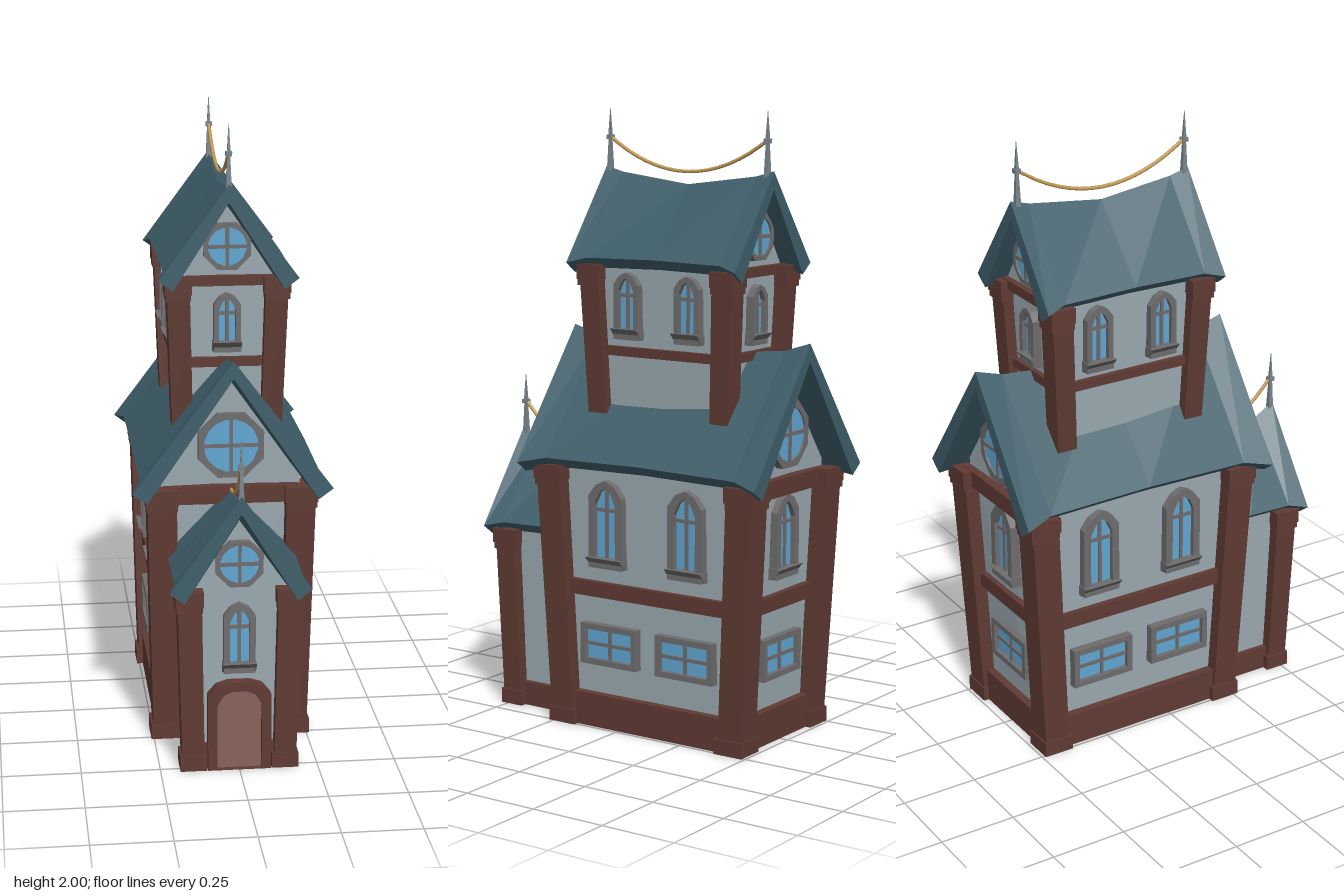
import * as THREE from 'three';

const mat = (name, color) => {
  const m = new THREE.MeshStandardMaterial({ color });
  m.name = name;
  return m;
};

export function createModel() {
  const M = {
    wall: mat('plaster', 0x9baab0), wood: mat('dark timber', 0x5f3a33), roof: mat('teal roof', 0x3f5f6b),
    glass: mat('blue glass', 0x62a6d2), frame: mat('grey frame', 0x6e6c6c), door: mat('door wood', 0x86625a),
    gold: mat('golden rope', 0xc79d58), metal: mat('finial metal', 0x78858b),
  };
  const root = new THREE.Group();
  root.name = 'house';

  const add = (parent, name, geo, material, x = 0, y = 0, z = 0) => {
    const m = new THREE.Mesh(geo, material);
    m.name = name;
    m.position.set(x, y, z);
    parent.add(m);
    return m;
  };
  const box = (p, name, m, w, h, d, x, y, z) => add(p, name, new THREE.BoxGeometry(w, h, d), m, x, y, z);
  const poly = (pts) => new THREE.Shape(pts.map(([x, y]) => new THREE.Vector2(x, y)));
  const extrude = (shape, depth) => new THREE.ExtrudeGeometry(shape, { depth, bevelEnabled: false });
  const lerp = THREE.MathUtils.lerp;

  // Moves every vertex by a rule and refreshes the flat normals
  const reshape = (geo, rule) => {
    const g = geo.index ? geo.toNonIndexed() : geo;
    const p = g.attributes.position;
    const v = new THREE.Vector3();
    for (let i = 0; i < p.count; i++) {
      rule(v.fromBufferAttribute(p, i));
      p.setXYZ(i, v.x, v.y, v.z);
    }
    g.computeVertexNormals();
    return g;
  };

  // Gabled wall block that widens towards the eaves; s = storey description
  const walls = (p, s) => {
    const shape = poly([[-s.x0, s.y0], [s.x0, s.y0], [s.x1, s.y1], [0, s.apex], [-s.x1, s.y1]]);
    add(p, 'walls', reshape(extrude(shape, 1), (v) => {
      const t = Math.min(1, (v.y - s.y0) / (s.y1 - s.y0));
      v.z = s.zc + (v.z * 2 - 1) * lerp(s.z0, s.z1, t);
    }), M.wall);
  };

  // Leaning corner posts with a foot and a stepped capital
  const posts = (p, s, w, ends, foot) => {
    for (const sx of [-1, 1]) for (const sz of ends) {
      const h = s.top - s.foot;
      const at = (t) => [sx * lerp(s.x0, s.x1, t), s.zc + sz * lerp(s.z0, s.z1, t)];
      add(p, 'cornerPost', reshape(new THREE.BoxGeometry(w, 1, w), (v) => {
        const t = v.y + 0.5;
        const [cx, cz] = at(t);
        v.set(cx + v.x * (0.96 + 0.08 * t), s.foot + h * t, cz + v.z * (0.96 + 0.08 * t));
      }), M.wood);
      const [tx, tz] = at(1);
      box(p, 'capital', M.wood, w + 0.015, 0.05, w + 0.015, tx, s.top - 0.025, tz);
      box(p, 'capitalStep', M.wood, w + 0.009, 0.02, w + 0.009, tx, s.top - 0.06, tz);
      if (foot) {
        const [bx, bz] = at(0);
        box(p, 'postFoot', M.wood, w + 0.012, 0.05, w + 0.012, bx, 0.025, bz);
      }
    }
  };

  // Horizontal timber running round a storey between two heights
  const band = (p, s, name, ya, yb, out, inset = out) => {
    const t = ((ya + yb) / 2 - s.y0) / (s.y1 - s.y0);
    box(p, name, M.wood, 2 * (lerp(s.x0, s.x1, t) + inset), yb - ya, 2 * (lerp(s.z0, s.z1, t) + out), 0, (ya + yb) / 2, s.zc);
  };

  // Swept roof from stations [z, ridgeY, eaveX, eaveY], front to back
  const roof = (p, stations) => {
    const rings = stations.map(([z, r, x, y]) => [
      [0, r, z], [-x, y, z], [-x + 0.046, y - 0.034, z],
      [0, r - 0.057, z], [x - 0.046, y - 0.034, z], [x, y, z],
    ]);
    const out = [];
    const quad = (a, b, c, d) => out.push(...a, ...b, ...c, ...a, ...c, ...d);
    for (let k = 0; k < rings.length - 1; k++) {
      const a = rings[k], b = rings[k + 1];
      for (let i = 0; i < 6; i++) quad(a[i], b[i], b[(i + 1) % 6], a[(i + 1) % 6]);
    }
    const f = rings[0], e = rings[rings.length - 1];
    quad(f[0], f[1], f[2], f[3]);
    quad(f[0], f[3], f[4], f[5]);
    quad(e[3], e[2], e[1], e[0]);
    quad(e[5], e[4], e[3], e[0]);
    const g = new THREE.BufferGeometry();
    g.setAttribute('position', new THREE.Float32BufferAttribute(out, 3));
    g.computeVertexNormals();
    add(p, 'roof', g, M.roof);
  };

  // Outlines: pointed arch, rectangle, regular polygon
  const archPts = (w, h, b = 0) => {
    const x = w / 2 - b, t = h - b, r = w * 0.42;
    return [[-x, b], [x, b], [x, t - r], [x * 0.55, t - r * 0.3], [0, t], [-x * 0.55, t - r * 0.3], [-x, t - r]];
  };
  const rectPts = (w, h, b = 0) => [[b - w / 2, b], [w / 2 - b, b], [w / 2 - b, h - b], [b - w / 2, h - b]];
  const ngon = (r, n) => Array.from({ length: n }, (_, i) => {
    const a = ((i + 0.5) / n) * Math.PI * 2;
    return [r * Math.cos(a), r * Math.sin(a)];
  });

  // Framed pane with a cross of glazing bars, facing local +z
  const pane = (outer, inner, out, barY, innerW, innerY0, innerY1) => {
    const g = new THREE.Group();
    g.name = 'window';
    const s = poly(outer);
    s.holes.push(poly(inner));
    add(g, 'windowFrame', extrude(s, out + 0.02), M.frame, 0, 0, -0.02);
    add(g, 'glass', extrude(poly(inner), 0.008), M.glass, 0, 0, 0.006);
    box(g, 'uprightBar', M.frame, 0.011, innerY1 - innerY0, 0.012, 0, (innerY0 + innerY1) / 2, 0.014);
    box(g, 'crossBar', M.frame, innerW, 0.011, 0.012, 0, barY, 0.014);
    return g;
  };
  const archWindow = (w, h) => {
    const b = w * 0.19;
    const g = pane(archPts(w, h), archPts(w, h, b), 0.03, h * 0.66, w - 2 * b, b, h - b);
    // Sill with an underside that slopes back to the wall
    add(g, 'sill', reshape(new THREE.BoxGeometry(w + 0.006, 0.035, 0.06), (v) => {
      if (v.y < 0 && v.z > 0) v.z -= 0.03;
    }), M.frame, 0, 0.0175, 0.015);
    return g;
  };
  const rectWindow = (w, h) => pane(rectPts(w, h), rectPts(w, h, 0.019), 0.03, h / 2, w - 0.038, 0.019, h - 0.019);
  const roundWindow = (r) => pane(ngon(r, 8), ngon(r * 0.77, 16), 0.02, 0, r * 1.5, -r * 0.75, r * 0.75);

  // Sets a window on a side: 0 front, 1 left, 2 back, 3 right
  const place = (p, s, g, side, u, y) => {
    const t = Math.min(1, (y - s.y0) / (s.y1 - s.y0));
    const hx = lerp(s.x0, s.x1, t), hz = lerp(s.z0, s.z1, t);
    g.rotation.y = side * Math.PI / 2;
    if (side % 2) g.position.set(side === 1 ? hx : -hx, y, u);
    else g.position.set(u, y, s.zc + (side ? -hz : hz));
    p.add(g);
  };
  const wing = (name) => {
    const g = new THREE.Group();
    g.name = name;
    root.add(g);
    return g;
  };

  // Main house
  const main = wing('mainHouse');
  const ms = { x0: 0.208, x1: 0.222, z0: 0.327, z1: 0.37, zc: -0.112, y0: 0.01, y1: 0.885, apex: 1.185, foot: 0, top: 0.86 };
  walls(main, ms);
  posts(main, ms, 0.09, [-1, 1], true);
  band(main, ms, 'plinth', 0, 0.11, 0.03);
  band(main, ms, 'middleBeam', 0.435, 0.485, 0.02);
  band(main, ms, 'gableBeam', 0.805, 0.862, 0.025, -0.005);
  roof(main, [[0.345, 1.287, 0.318, 0.865], [0.25, 1.257, 0.29, 0.885], [-0.112, 1.225, 0.29, 0.892],
    [-0.475, 1.257, 0.29, 0.885], [-0.57, 1.287, 0.318, 0.865]]);
  for (const side of [1, 3]) {
    for (const z of [0.045, -0.265]) place(main, ms, archWindow(0.13, 0.29), side, z, 0.535);
    for (const z of [0.038, -0.257]) place(main, ms, rectWindow(0.22, 0.135), side, z, 0.21);
  }
  place(main, ms, archWindow(0.13, 0.27), 2, 0, 0.535);
  place(main, ms, rectWindow(0.22, 0.135), 2, 0, 0.21);
  for (const side of [0, 2]) place(main, ms, roundWindow(0.113), side, 0, 0.995);

  // Tower on the main roof
  const tower = wing('tower');
  const ts = { x0: 0.143, x1: 0.157, z0: 0.235, z1: 0.256, zc: -0.11, y0: 1.0, y1: 1.515, apex: 1.735, foot: 1.03, top: 1.512 };
  walls(tower, ts);
  posts(tower, ts, 0.07, [-1, 1], false);
  band(tower, ts, 'middleBeam', 1.22, 1.25, 0.018);
  band(tower, ts, 'gableBeam', 1.485, 1.516, 0.02, -0.005);
  roof(tower, [[0.212, 1.815, 0.222, 1.515], [0.145, 1.797, 0.203, 1.532], [-0.11, 1.765, 0.203, 1.537],
    [-0.365, 1.797, 0.203, 1.532], [-0.432, 1.815, 0.222, 1.515]]);
  for (const side of [1, 3]) for (const z of [0.008, -0.225]) place(tower, ts, archWindow(0.095, 0.215), side, z, 1.275);
  for (const side of [0, 2]) {
    place(tower, ts, archWindow(0.085, 0.19), side, 0, 1.27);
    place(tower, ts, roundWindow(0.08), side, 0, 1.61);
  }

  // Entrance wing
  const porch = wing('entranceWing');
  const ps = { x0: 0.145, x1: 0.158, z0: 0.283, z1: 0.3, zc: 0.2, y0: 0.01, y1: 0.61, apex: 0.83, foot: 0, top: 0.605 };
  walls(porch, ps);
  posts(porch, ps, 0.073, [1], true);
  band(porch, ps, 'plinth', 0, 0.08, 0.02);
  roof(porch, [[0.567, 0.92, 0.222, 0.612], [0.5, 0.88, 0.203, 0.628], [0.345, 0.852, 0.203, 0.632], [0.2, 0.842, 0.203, 0.632]]);
  place(porch, ps, archWindow(0.1, 0.23), 0, 0, 0.325);
  place(porch, ps, roundWindow(0.08), 0, 0, 0.685);

  // Arched door and surround
  const arch = (x, h) => [[-x, 0], [x, 0], [x, h - 0.045], [x * 0.72, h - 0.012], [x * 0.35, h],
    [-x * 0.35, h], [-x * 0.72, h - 0.012], [-x, h - 0.045]];
  const surround = poly(arch(0.1, 0.295));
  surround.holes.push(poly(arch(0.07, 0.265).map(([x, y]) => [x, Math.max(y, 0.002)])));
  add(porch, 'doorSurround', extrude(surround, 0.055), M.wood, 0, 0, 0.472);
  add(porch, 'door', extrude(poly(arch(0.071, 0.266)), 0.03), M.door, 0, 0.001, 0.48);

  // Finials and ropes
  const finial = (y, z) => {
    const g = wing('finial');
    g.position.set(0, y, z);
    const spike = (name, r1, r0, h, cy) => add(g, name, new THREE.CylinderGeometry(r1, r0, h, 4).rotateY(Math.PI / 4).toNonIndexed(), M.metal, 0, cy, 0)
      .geometry.computeVertexNormals();
    spike('finialRod', 0.006, 0.013, 0.12, 0.05);
    spike('finialBead', 0.014, 0.014, 0.014, 0.108);
    spike('finialTip', 0.0008, 0.008, 0.09, 0.155);
  };
  finial(1.8, 0.197);
  finial(1.8, -0.408);
  finial(0.9, 0.557);
  const rope = (za, zb, y, sag) => {
    const pts = Array.from({ length: 9 }, (_, i) => {
      const t = i / 8;
      return new THREE.Vector3(0, y - sag * 4 * t * (1 - t), lerp(za, zb, t));
    });
    add(root, 'rope', new THREE.TubeGeometry(new THREE.CatmullRomCurve3(pts), 16, 0.006, 6), M.gold);
  };
  rope(0.197, -0.408, 1.91, 0.105);
  rope(0.557, 0.0, 1.012, 0.16);

  return root;
}
